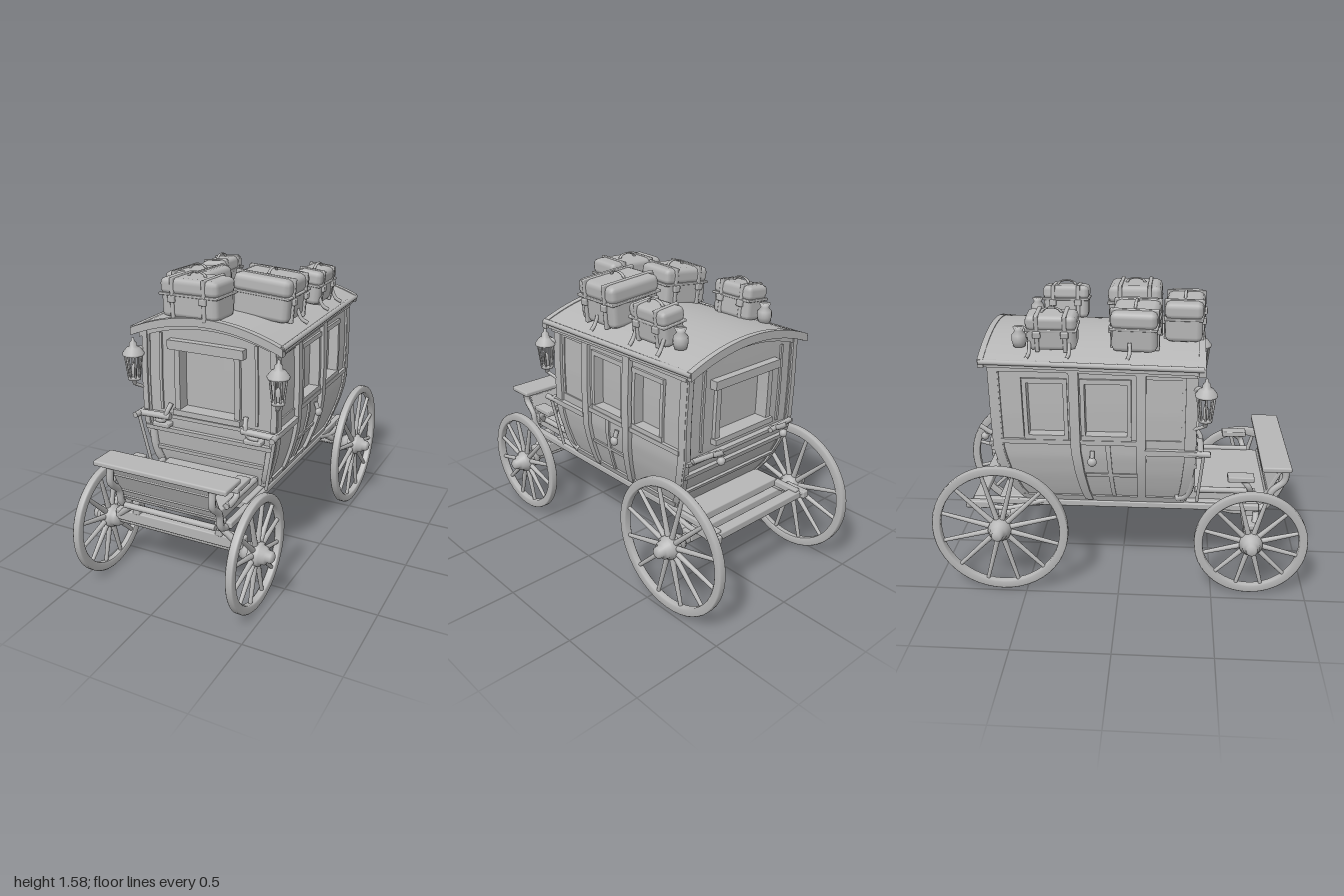
import * as THREE from 'three';
import { RoundedBoxGeometry } from 'three/addons/geometries/RoundedBoxGeometry.js';

const V = (x, y, z) => new THREE.Vector3(x, y, z);

// Piecewise-linear lookup: rows of [y, value]
function lookup(rows, y) {
  let i = 1;
  while (i < rows.length - 1 && y > rows[i][0]) i++;
  const [a, b] = [rows[i - 1], rows[i]];
  const t = THREE.MathUtils.clamp((y - a[0]) / (b[0] - a[0]), 0, 1);
  return a[1] + (b[1] - a[1]) * t;
}
// Cabin outline by height: half width, back wall, front wall
const WIDTH = [[0.46, 0.3], [0.55, 0.335], [0.65, 0.365], [0.76, 0.385], [1.0, 0.388], [1.27, 0.378]];
const BACK = [[0.46, -0.5], [0.55, -0.56], [0.68, -0.61], [0.8, -0.64], [1.27, -0.65]];
const FRONT = [[0.46, 0.335], [0.56, 0.36], [0.75, 0.38], [1.27, 0.38]];

export function createModel() {
  const model = new THREE.Group();
  const grey = new THREE.MeshStandardMaterial({ color: 0xb6b6b6 });

  const add = (name, geo, parent = model, x = 0, y = 0, z = 0) => {
    const m = new THREE.Mesh(geo, grey);
    m.name = name;
    m.position.set(x, y, z);
    parent.add(m);
    return m;
  };
  const box = (name, w, h, d, x, y, z, parent = model, r = 0.006) =>
    add(name, new RoundedBoxGeometry(w, h, d, 1, Math.min(r, w / 3, h / 3, d / 3)), parent, x, y, z);
  const group = (name, parent = model) => {
    const g = new THREE.Group();
    g.name = name;
    parent.add(g);
    return g;
  };
  // Round bar between two points
  const bar = (name, a, b, r0, r1 = r0, parent = model) => {
    const m = add(name, new THREE.CylinderGeometry(r1, r0, a.distanceTo(b), 10), parent);
    m.position.copy(a).lerp(b, 0.5);
    m.quaternion.setFromUnitVectors(V(0, 1, 0), b.clone().sub(a).normalize());
    return m;
  };
  const tube = (name, pts, r, parent = model) =>
    add(name, new THREE.TubeGeometry(new THREE.CatmullRomCurve3(pts.map(p => V(...p))), 20, r, 8), parent);
  const lathe = (name, pts, parent = model, x = 0, y = 0, z = 0, seg = 16) =>
    add(name, new THREE.LatheGeometry(pts.map(p => new THREE.Vector2(...p)), seg), parent, x, y, z);

  // ---- Cabin: slabs bent to the body outline; u = side to side, v = back (0) to front (1)
  const cabin = group('cabin');
  const slab = (name, u0, u1, y0, y1, v0, v1) => {
    const geo = new THREE.BoxGeometry(u1 - u0, y1 - y0, v1 - v0, 10, 12, 1);
    geo.translate((u0 + u1) / 2, (y0 + y1) / 2, (v0 + v1) / 2);
    const p = geo.attributes.position;
    for (let i = 0; i < p.count; i++) {
      const u = p.getX(i), y = p.getY(i), v = p.getZ(i);
      const lift = y > 1.22 ? 0.075 * Math.max(0, 1 - u * u) * (y - 1.22) / 0.06 : 0;
      const b = lookup(BACK, y), f = lookup(FRONT, y);
      p.setXYZ(i, u * lookup(WIDTH, y), y + lift, b + (f - b) * v);
    }
    geo.computeVertexNormals();
    return add(name, geo, cabin);
  };
  const zv = z => (z + 0.65) / 1.03;
  slab('cabinCore', -0.86, 0.86, 0.47, 1.28, 0.05, 0.95);
  for (const s of [1, -1]) {
    const side = (name, z0, z1, y0, y1, i, o) =>
      slab(name, Math.min(s * i, s * o), Math.max(s * i, s * o), y0, y1, zv(z0), zv(z1));
    side('lowerSideWall', -0.65, 0.38, 0.47, 0.86, 0.84, 0.985);
    side('upperSideRail', -0.65, 0.38, 1.19, 1.28, 0.84, 0.985);
    side('frontSidePanel', 0.11, 0.36, 0.85, 1.2, 0.84, 0.965);
    side('rearSidePanel', -0.65, -0.5, 0.85, 1.2, 0.84, 0.985);
    side('windowPost', -0.28, -0.18, 0.85, 1.2, 0.84, 0.985);
    side('frontCornerPost', 0.335, 0.385, 0.47, 1.28, 0.9, 1.02);
    side('rearCornerPost', -0.655, -0.615, 0.47, 1.28, 0.9, 1.015);
    side('doorPost', 0.085, 0.135, 0.48, 1.28, 0.9, 1.04);
    side('doorPost', -0.255, -0.205, 0.48, 1.25, 0.9, 1.05);
    side('beltMoulding', 0.13, 0.4, 0.785, 0.815, 0.95, 1.05);
    side('beltMoulding', -0.62, 0.09, 0.835, 0.86, 0.95, 1.03);
    side('topMoulding', -0.65, 0.38, 1.225, 1.25, 0.95, 1.03);
    side('sill', -0.64, 0.36, 0.47, 0.505, 0.9, 1.03);
    side('lowerPanelBatten', -0.2, 0.085, 0.64, 0.66, 0.95, 1.01);
    side('doorBatten', -0.075, -0.05, 0.5, 0.84, 0.95, 1.01);
    // Window frames
    for (const [a, b] of [[-0.2, 0.06], [-0.495, -0.265]]) {
      side('windowSill', a, b, 0.86, 0.885, 0.85, 1.02);
      side('windowHead', a, b, 1.165, 1.19, 0.85, 1.02);
      side('windowJamb', a, a + 0.022, 0.86, 1.19, 0.85, 1.01);
      side('windowJamb', b - 0.022, b, 0.86, 1.19, 0.85, 1.01);
    }
    side('windowPost', 0.055, 0.09, 0.85, 1.2, 0.84, 0.985);
    // Door knob
    const knob = add('doorKnob', new THREE.SphereGeometry(0.025, 12, 8), cabin, s * 0.41, 0.745, -0.14);
    knob.scale.x = 0.8;
    bar('doorHandle', V(s * 0.39, 0.8, -0.14), V(s * 0.408, 0.75, -0.14), 0.012, 0.012, cabin);
  }
  // End walls with framed windows, sill ledges and boards
  for (const front of [true, false]) {
    const end = (name, u0, u1, y0, y1, i, o) => front
      ? slab(name, u0, u1, y0, y1, 1 - i, 1 + o) : slab(name, u0, u1, y0, y1, -o, i);
    const w = front ? 0.43 : 0.46, y0 = front ? 0.85 : 0.88, y1 = front ? 1.18 : 1.15;
    end('endWallLower', -0.98, 0.98, 0.47, y0, 0.06, 0);
    end('endWallUpper', -0.98, 0.98, y1, 1.28, 0.06, 0);
    for (const s of [1, -1]) {
      const c = (a, b) => [Math.min(s * a, s * b), Math.max(s * a, s * b)];
      end('endWallSide', ...c(w, 0.98), y0 - 0.01, y1 + 0.01, 0.06, 0);
      end('endWindowJamb', ...c(w - 0.02, w + 0.06), y0, y1, 0.06, 0.02);
      end('cornerTrim', ...c(0.93, 1.01), 0.48, 1.27, 0.04, 0.015);
      end('panelBatten', ...c(0.7, 0.74), 0.83, 1.24, 0.04, 0.01);
    }
    end('endWindowSill', -w - 0.08, w + 0.08, y0 - 0.03, y0, 0.04, 0.035);
    end('endWindowLintel', -w - 0.14, w + 0.14, y1, y1 + 0.045, 0.04, 0.04);
    end('endLedge', -1.0, 1.0, 0.705, 0.73, 0.04, 0.025);
    end('endBoard', -0.99, 0.99, 0.59, 0.61, 0.04, 0.02);
    end('endBoard', -1.0, 1.0, 0.79, 0.81, 0.04, front ? 0.02 : 0.03);
  }

  // ---- Arched roof, slightly wider at the front, with a rim
  const archY = (x, z) => 1.365 - 0.09 * (x / 0.42) ** 2 - 0.012 * z;
  const roofPart = (name, z0, z1, th, grow, drop) => {
    const geo = new THREE.BoxGeometry(2, 1, z1 - z0, 20, 1, 6).translate(0, -0.5, (z0 + z1) / 2);
    const p = geo.attributes.position;
    for (let i = 0; i < p.count; i++) {
      const z = p.getZ(i), x = p.getX(i) * (0.413 + 0.015 * z + grow);
      p.setXY(i, x, archY(x, z) + drop + p.getY(i) * th);
    }
    geo.computeVertexNormals();
    add(name, geo);
  };
  roofPart('roof', -0.69, 0.41, 0.04, 0, 0);
  roofPart('roofFrontRim', 0.395, 0.43, 0.042, 0.012, 0.004);
  roofPart('roofBackRim', -0.705, -0.675, 0.042, 0.008, 0.004);
  roofPart('roofUnderTrim', -0.66, 0.39, 0.03, -0.015, -0.035);
  for (const s of [1, -1]) bar('roofEdge', V(s * 0.404, 1.278, -0.7), V(s * 0.424, 1.265, 0.42), 0.014);

  // ---- Luggage
  const bag = (x, z, w, d, y0, h, along, tilt = 0, turn = 0) => {
    const g = group('bag');
    g.position.set(x, y0, z);
    g.rotation.set(0, turn, tilt);
    box('bagBody', w, h * 0.72, d, 0, h * 0.36, 0, g, 0.03);
    box('bagFlap', w * 1.03, h * 0.42, d * 1.03, 0, h * 0.79, 0, g, 0.035);
    box('bagSeam', w * 1.05, 0.014, d * 1.05, 0, h * 0.6, 0, g);
    for (const k of [-0.28, 0.28]) {
      if (along) {
        box('bagStrap', 0.022, h * 1.03, d * 1.08, k * w, h * 0.51, 0, g);
        for (const e of [1, -1]) box('buckle', 0.04, 0.035, 0.02, k * w, h * 0.5, e * d * 0.54, g);
      } else {
        box('bagStrap', w * 1.08, h * 1.03, 0.022, 0, h * 0.51, k * d, g);
        for (const e of [1, -1]) box('buckle', 0.02, 0.035, 0.04, e * w * 0.54, h * 0.5, k * d, g);
      }
    }
    const handle = add('bagHandle', new THREE.TorusGeometry(0.05, 0.008, 8, 14, Math.PI), g, 0, h * 0.98, 0);
    handle.scale.y = 0.55;
    if (!along) handle.rotation.y = Math.PI / 2;
    return g;
  };
  bag(-0.2, 0.08, 0.28, 0.23, 1.325, 0.21, true, 0.09, -0.08);
  bag(0.19, 0.055, 0.31, 0.28, 1.325, 0.225, false, -0.07);
  bag(-0.08, 0.325, 0.33, 0.19, 1.345, 0.205, true, 0.02, -0.06);
  for (const s of [1, -1]) {
    bag(s * 0.28, -0.34, 0.14, 0.25, 1.325, 0.185, false, -s * 0.1);
    lathe('jug', [[0, 0], [0.03, 0], [0.038, 0.03], [0.036, 0.06], [0.02, 0.08], [0.03, 0.1], [0, 0.1]],
      model, s * 0.295, 1.33, -0.51);
    // Tie-down hooks along the roof
    for (const z of [0.05, -0.25, -0.45])
      tube('tieDown', [[s * 0.345, 1.37, z], [s * 0.37, 1.32, z], [s * 0.4, 1.3, z - 0.01]], 0.01);
  }

  // ---- Wheels: rim, tapered spokes and turned hub
  const wheel = (name, x, y, z, r, s) => {
    const g = group(name);
    g.position.set(x, y, z);
    g.rotation.z = -s * Math.PI / 2;
    const t = 0.02;
    lathe('rim', [[r - 0.045, -t + 0.006], [r - 0.038, -t], [r - 0.006, -t], [r, -t + 0.006], [r, t - 0.006],
      [r - 0.006, t], [r - 0.038, t], [r - 0.045, t - 0.006], [r - 0.045, -t + 0.006]], g, 0, 0, 0, 48);
    for (let i = 0; i < 12; i++) {
      const a = (i + 0.5) * Math.PI / 6, c = Math.cos(a), n = Math.sin(a);
      bar('spoke', V(c * 0.04, 0, n * 0.04), V(c * (r - 0.035), 0, n * (r - 0.035)), 0.015, 0.01, g);
    }
    lathe('hub', [[0, -0.075], [0.04, -0.075], [0.048, -0.05], [0.05, -0.03], [0.062, -0.025], [0.062, 0.025],
      [0.05, 0.03], [0.045, 0.055], [0.032, 0.06], [0.03, 0.085], [0.018, 0.095], [0, 0.095]], g, 0, 0, 0, 20);
  };
  for (const s of [1, -1]) {
    wheel('frontWheel', s * 0.43, 0.305, 0.7, 0.3, s);
    wheel('rearWheel', s * 0.465, 0.365, -0.632, 0.365, s);
  }

  // ---- Undercarriage
  box('floorPan', 0.6, 0.045, 1.2, 0, 0.455, -0.06);
  box('driverFloor', 0.54, 0.06, 0.43, 0, 0.5, 0.56);
  box('frontAxleBeam', 0.74, 0.06, 0.07, 0, 0.345, 0.7);
  bar('frontAxle', V(-0.42, 0.305, 0.7), V(0.42, 0.305, 0.7), 0.022);
  bar('rearAxle', V(-0.45, 0.365, -0.632), V(0.45, 0.365, -0.632), 0.028);
  box('rearAxleBeam', 0.7, 0.05, 0.07, 0, 0.38, -0.632);
  box('rearCrossbar', 0.7, 0.04, 0.06, 0, 0.435, -0.785);
  bar('frontCrossbar', V(-0.26, 0.455, 0.8), V(0.26, 0.455, 0.8), 0.016);
  bar('frontCrossbar', V(-0.26, 0.42, 0.74), V(0.26, 0.42, 0.74), 0.014);
  for (const s of [1, -1]) {
    box('chassisRail', 0.035, 0.035, 1.55, s * 0.3, 0.45, -0.03);
    box('rearRailEnd', 0.04, 0.04, 0.14, s * 0.33, 0.44, -0.77);
    bar('axleStrut', V(s * 0.25, 0.43, 0.74), V(s * 0.36, 0.335, 0.72), 0.017);
    bar('rearStrut', V(s * 0.29, 0.45, -0.5), V(s * 0.34, 0.37, -0.63), 0.018);
    box('springBlock', 0.04, 0.08, 0.06, s * 0.24, 0.41, 0.71);
    tube('rearSpring', [[s * 0.31, 0.46, -0.42], [s * 0.32, 0.41, -0.63], [s * 0.32, 0.45, -0.83]], 0.014);
    // Rail beside the driver and footrest post
    bar('driverRail', V(s * 0.275, 0.535, 0.4), V(s * 0.275, 0.535, 0.72), 0.016);
    tube('stepBracket', [[s * 0.28, 0.53, 0.7], [s * 0.31, 0.58, 0.68], [s * 0.29, 0.62, 0.64]], 0.016);
    box('sideStep', 0.07, 0.03, 0.14, s * 0.3, 0.625, 0.64);
    // Curved dashboard support
    tube('dashSupport', [[s * 0.285, 0.69, 0.87], [s * 0.285, 0.61, 0.875], [s * 0.285, 0.54, 0.81],
      [s * 0.285, 0.46, 0.79], [s * 0.285, 0.43, 0.72]], 0.019);
    // Front corner scroll
    tube('cornerScroll', [[s * 0.35, 0.72, 0.37], [s * 0.335, 0.6, 0.375], [s * 0.315, 0.52, 0.35],
      [s * 0.31, 0.5, 0.3]], 0.022);
    // Grab handles on the front and hooks on the back
    box('handleMount', 0.1, 0.025, 0.06, s * 0.27, 0.75, 0.4);
    bar('grabHandle', V(s * 0.21, 0.805, 0.42), V(s * 0.4, 0.8, 0.42), 0.018);
    bar('grabHandleArm', V(s * 0.385, 0.8, 0.3), V(s * 0.4, 0.8, 0.47), 0.016);
    tube('handleScroll', [[s * 0.22, 0.87, 0.39], [s * 0.23, 0.83, 0.42], [s * 0.25, 0.78, 0.42], [s * 0.3, 0.77, 0.41]], 0.013);
    bar('lampStay', V(s * 0.4, 0.8, 0.435), V(s * 0.345, 0.5, 0.41), 0.009);
    tube('rearHook', [[s * 0.23, 0.79, -0.62], [s * 0.23, 0.815, -0.69], [s * 0.23, 0.86, -0.76]], 0.014);
    add('rearHookKnob', new THREE.SphereGeometry(0.022, 10, 8), model, s * 0.23, 0.8, -0.735);
    bar('rearHookBar', V(s * 0.18, 0.815, -0.69), V(s * 0.36, 0.815, -0.67), 0.014);
    bar('rearHookLink', V(s * 0.23, 0.83, -0.72), V(s * 0.23, 0.8, -0.735), 0.01);

    // ---- Carriage lamps
    const lamp = group('lamp');
    lamp.position.set(s * 0.415, 0, 0.435);
    lathe('lampCap', [[0.056, 1.125], [0.058, 1.135], [0.035, 1.165], [0.022, 1.17], [0.02, 1.19], [0.009, 1.2],
      [0.008, 1.215], [0, 1.22]], lamp);
    lathe('lampCapUnderside', [[0, 1.124], [0.056, 1.125]], lamp);
    lathe('lampBase', [[0, 0.955], [0.01, 0.96], [0.014, 0.985], [0.034, 0.99], [0.036, 1.005], [0, 1.005]], lamp);
    lathe('lampFlame', [[0, 1.0], [0.014, 1.0], [0.014, 1.06], [0, 1.085]], lamp);
    for (let i = 0; i < 8; i++) {
      const c = Math.cos(i * Math.PI / 4), n = Math.sin(i * Math.PI / 4);
      bar('lampBar', V(c * 0.03, 1.0, n * 0.03), V(c * 0.046, 1.13, n * 0.046), 0.005, 0.005, lamp);
    }
    tube('lampArm', [[s * 0.37, 1.1, 0.37], [s * 0.385, 1.15, 0.385], [s * 0.405, 1.16, 0.42]], 0.011);
    bar('lampStem', V(s * 0.415, 0.965, 0.435), V(s * 0.385, 0.93, 0.375), 0.009);
  }

  // ---- Dashboard with padded top board
  const dash = box('dashBoard', 0.56, 0.235, 0.022, 0, 0.585, 0.815);
  dash.rotation.x = 0.45;
  for (const y of [0.5, 0.545, 0.65]) box('dashBatten', 0.56, 0.016, 0.03, 0, y, 0.815 + (y - 0.585) * 0.48);
  box('dashTop', 0.74, 0.028, 0.155, 0, 0.705, 0.82, model, 0.009);
  return model;
}
